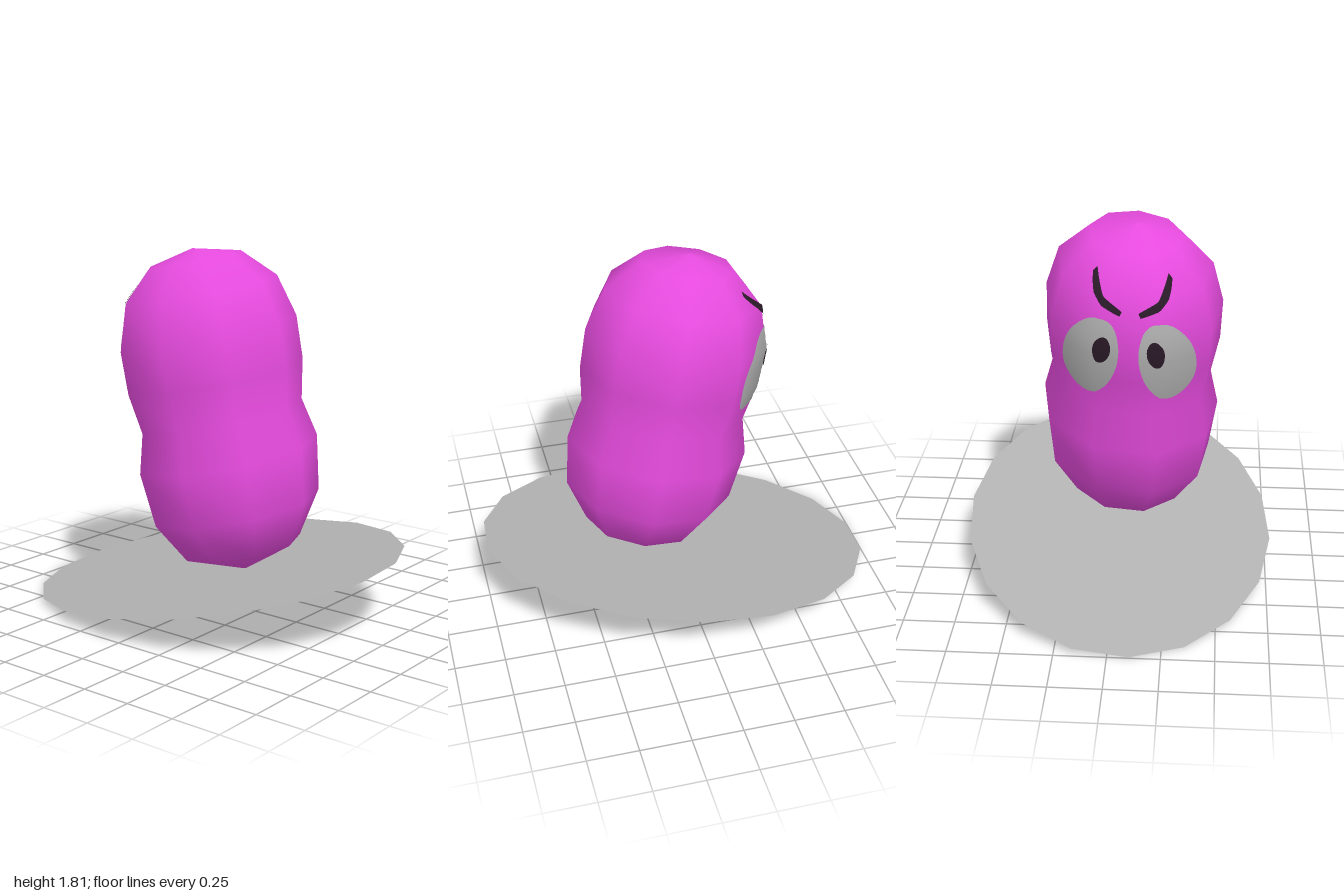
import * as THREE from 'three';

const SIDES = 9;
// body profile: [radius, height along the leaning axis]
const PROFILE = [
  [0, 0], [0.296, 0.12], [0.425, 0.33], [0.458, 0.6], [0.411, 0.79],
  [0.447, 0.99], [0.449, 1.2], [0.386, 1.41], [0.231, 1.56], [0, 1.614],
];

// leaning frame shared by the body and its face
const lean = new THREE.Matrix4().makeBasis(
  new THREE.Vector3(0.98, 0.083, 0),
  new THREE.Vector3(-0.038, 0.984, -0.177),
  new THREE.Vector3(0, 0.177, 0.984),
).setPosition(-0.02, 0.22, 0.2);

function radiusAt(s) {
  for (let i = 1; i < PROFILE.length; i++) {
    const [r0, s0] = PROFILE[i - 1], [r1, s1] = PROFILE[i];
    if (s <= s1) return r0 + (r1 - r0) * (s - s0) / (s1 - s0);
  }
  return 0;
}

// Thin patch lying on the faceted body; shape(u, v) gives [distance from face centre line, height]
function facePatch(name, material, side, lift, nu, nv, shape) {
  const geo = new THREE.PlaneGeometry(1, 1, nu, nv);
  const { position, normal } = geo.attributes;
  const step = Math.PI * 2 / SIDES, n = new THREE.Vector3();
  for (let i = 0; i < position.count; i++) {
    const u = position.getX(i) + 0.5, v = position.getY(i) + 0.5;
    const [a, s] = shape(side > 0 ? 1 - u : u, v);
    const phi = Math.PI - side * a / 0.44;
    const flat = Math.cos(step / 2) / Math.cos(phi % step - step / 2);
    const r = radiusAt(s) * flat + lift;
    position.setXYZ(i, r * Math.sin(phi), s, r * Math.cos(phi));
    const slope = (radiusAt(s + 0.1) - radiusAt(s - 0.1)) / 0.2;
    n.set(Math.sin(phi), -slope, Math.cos(phi)).normalize();
    normal.setXYZ(i, n.x, n.y, n.z);
  }
  geo.applyMatrix4(lean);
  const mesh = new THREE.Mesh(geo, material);
  mesh.name = name;
  return mesh;
}

// Tilted egg outline, filled from its centre
function egg(ca, cs, w, h, tilt, taper) {
  return (u, v) => {
    const t = v * Math.PI * 2;
    const y = u * h * Math.sin(t);
    const x = u * w * Math.cos(t) * (1 - taper * Math.sin(t));
    return [
      ca + x * Math.cos(tilt) - y * Math.sin(tilt),
      cs + x * Math.sin(tilt) + y * Math.cos(tilt),
    ];
  };
}

export function createModel() {
  const model = new THREE.Group();
  model.name = 'model';
  const flat = (name, color) => {
    const m = new THREE.MeshStandardMaterial({ color });
    m.name = name;
    return m;
  };
  const magenta = flat('magenta', 0xe64bde);
  const grey = flat('grey', 0xb2b2b2);
  const dark = flat('dark', 0x2a1a28);
  grey.side = THREE.DoubleSide;

  // peanut-shaped body
  const bodyGeo = new THREE.LatheGeometry(PROFILE.map(([r, s]) => new THREE.Vector2(r, s)), SIDES);
  bodyGeo.applyMatrix4(lean);
  const body = new THREE.Mesh(bodyGeo, magenta);
  body.name = 'body';
  model.add(body);

  // tilted oval base
  const baseGeo = new THREE.CircleGeometry(1, 18, THREE.MathUtils.degToRad(7.5 - 90));
  baseGeo.rotateX(-Math.PI / 2);
  baseGeo.applyMatrix4(new THREE.Matrix4().makeBasis(
    new THREE.Vector3(0.773, 0.066, 0),
    new THREE.Vector3(-0.085, 1, -0.18),
    new THREE.Vector3(0, 0.181, 1.006),
  ).setPosition(0, 0.19, 0));
  const base = new THREE.Mesh(baseGeo, grey);
  base.name = 'base';
  model.add(base);

  // face: mirrored eyes, pupils and slanted brows
  const browLine = new THREE.SplineCurve([
    new THREE.Vector2(0.05, 1.34), new THREE.Vector2(0.14, 1.385),
    new THREE.Vector2(0.22, 1.44), new THREE.Vector2(0.28, 1.485),
  ]);
  const brow = (u, v) => {
    const p = browLine.getPoint(u), t = browLine.getTangent(u);
    const w = (v - 0.5) * 0.04 * (0.6 + 0.4 * Math.sin(Math.PI * u));
    return [p.x - t.y * w, p.y + t.x * w];
  };
  for (const side of [1, -1]) {
    const label = side > 0 ? 'left' : 'right';
    model.add(
      facePatch(label + 'Eye', grey, side, 0.005, 12, 40, egg(0.205, 1.1, 0.15, 0.22, 0.42, 0.12)),
      facePatch(label + 'Pupil', dark, side, 0.009, 6, 24, egg(0.13, 1.16, 0.042, 0.068, 0.15, 0)),
      facePatch(label + 'Brow', dark, side, 0.007, 24, 4, brow),
    );
  }
  return model;
}
